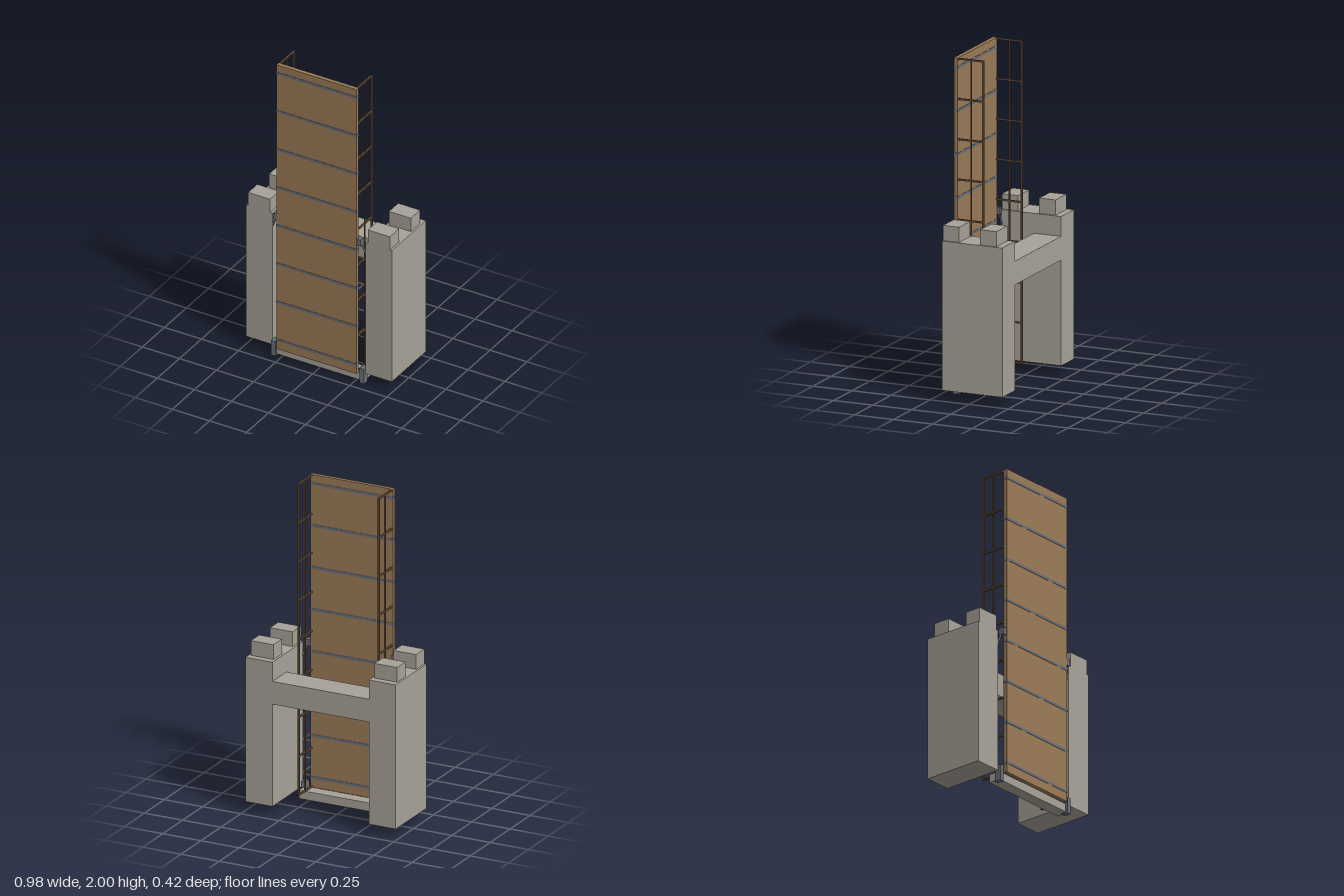
import * as THREE from 'three';

const stone = new THREE.MeshStandardMaterial({ color: 0xa8a298 });
const wood = new THREE.MeshStandardMaterial({ color: 0x9b7b57 });
const darkWood = new THREE.MeshStandardMaterial({ color: 0x6b5138 });
const iron = new THREE.MeshStandardMaterial({ color: 0x6a707a });

// Box given by its [min, max] range on each axis
function block(parent, name, material, [x0, x1], [y0, y1], [z0, z1]) {
  const mesh = new THREE.Mesh(new THREE.BoxGeometry(x1 - x0, y1 - y0, z1 - z0), material);
  mesh.position.set((x0 + x1) / 2, (y0 + y1) / 2, (z0 + z1) / 2);
  mesh.name = name;
  parent.add(mesh);
}

// Same box on side s (+1 left, -1 right), with x measured outward from the centre
function sideBlock(parent, name, material, s, [x0, x1], y, z) {
  block(parent, name, material, s > 0 ? [x0, x1] : [-x1, -x0], y, z);
}

// Straight round rod between two points
function rod(parent, name, material, a, b, radius) {
  const dir = b.clone().sub(a);
  const mesh = new THREE.Mesh(new THREE.CylinderGeometry(radius, radius, dir.length(), 8), material);
  mesh.position.copy(a).add(b).multiplyScalar(0.5);
  mesh.quaternion.setFromUnitVectors(new THREE.Vector3(0, 1, 0), dir.normalize());
  mesh.name = name;
  parent.add(mesh);
}

export function createModel() {
  const model = new THREE.Group();
  model.name = 'drawbridge';

  // Gatehouse: two towers with battlements, a rear lintel and a front sill
  const gatehouse = new THREE.Group();
  gatehouse.name = 'gatehouse';
  model.add(gatehouse);
  for (const s of [1, -1]) {
    sideBlock(gatehouse, 'tower', stone, s, [0.315, 0.491], [0.063, 0.957], [-0.208, 0.178]);
    for (const z of [[-0.165, -0.06], [0.074, 0.178]]) {
      sideBlock(gatehouse, 'merlon', stone, s, [0.33, 0.478], [0.957, 1.048], z);
    }
  }
  block(gatehouse, 'lintel', stone, [-0.315, 0.315], [0.696, 0.838], [-0.208, -0.033]);
  block(gatehouse, 'sill', stone, [-0.305, 0.305], [0.01, 0.062], [0.104, 0.18]);

  // Raised deck with iron straps around it
  const deck = new THREE.Group();
  deck.name = 'deck';
  model.add(deck);
  block(deck, 'planks', wood, [-0.269, 0.269], [0.062, 2], [0.181, 0.206]);
  for (let i = 0; i < 8; i++) {
    const y = 0.124 + i * 0.26;
    block(deck, 'strap', iron, [-0.271, 0.271], [y - 0.008, y + 0.008], [0.179, 0.208]);
  }

  for (const s of [1, -1]) {
    // Railing: outer rail, thin middle rail and regular posts
    const railing = new THREE.Group();
    railing.name = 'railing';
    model.add(railing);
    sideBlock(railing, 'topRail', darkWood, s, [0.257, 0.267], [0.062, 2], [0.015, 0.025]);
    sideBlock(railing, 'middleRail', darkWood, s, [0.258, 0.266], [0.062, 2], [0.095, 0.102]);
    for (let i = 0; i < 9; i++) {
      const y = 0.067 + i * 0.241;
      sideBlock(railing, 'post', darkWood, s, [0.257, 0.267], [y - 0.005, y + 0.005], [0.015, 0.182]);
    }

    // Hinge at the foot, lifting bracket and its short stay to the tower
    sideBlock(model, 'hinge', iron, s, [0.284, 0.313], [0, 0.1], [0.152, 0.195]);
    sideBlock(model, 'liftingBracket', iron, s, [0.27, 0.296], [0.938, 0.98], [0.164, 0.203]);
    rod(model, 'stay', iron, new THREE.Vector3(s * 0.283, 0.955, 0.181),
      new THREE.Vector3(s * 0.317, 0.87, 0.172), 0.006);
  }
  return model;
}
